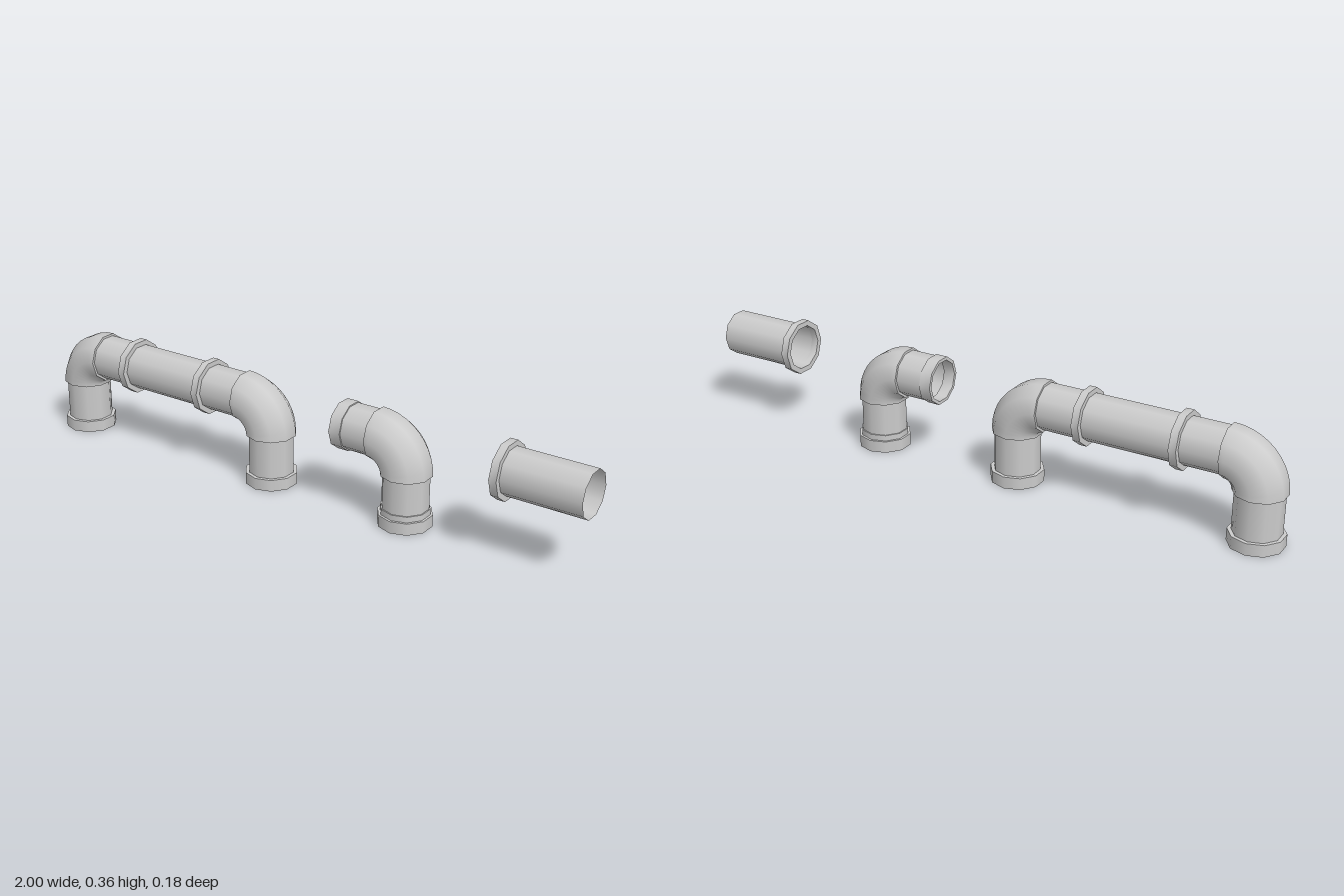
import * as THREE from 'three';
import { mergeVertices, toCreasedNormals } from 'three/addons/utils/BufferGeometryUtils.js';

const SIDES = 10;
const PIPE_R = 0.075, ELBOW_R = 0.083, BEND = 0.104, AXIS_Y = 0.272;
const LEG_TOP = AXIS_Y - BEND;
const material = new THREE.MeshStandardMaterial({ color: 0xcccccc, side: THREE.DoubleSide });

function add(group, name, geometry, x = 0, y = 0) {
  const mesh = new THREE.Mesh(geometry, material);
  mesh.name = name;
  mesh.position.set(x, y, 0);
  group.add(mesh);
}

// Thin open pipe lying along x
function horizontalPipe(group, x0, x1) {
  const g = new THREE.CylinderGeometry(PIPE_R, PIPE_R, x1 - x0, SIDES, 1, true);
  add(group, 'horizontalPipe', g.rotateZ(Math.PI / 2), (x0 + x1) / 2, AXIS_Y);
}

// Hollow ring around a horizontal pipe
function flange(group, name, x0, x1, inner, outer) {
  const h = (x1 - x0) / 2;
  const profile = [[inner, -h], [outer, -h], [outer, h], [inner, h], [inner, -h]]
    .map(([r, y]) => new THREE.Vector2(r, y));
  const g = toCreasedNormals(new THREE.LatheGeometry(profile, SIDES), 0.7);
  add(group, name, g.rotateZ(Math.PI / 2), (x0 + x1) / 2, AXIS_Y);
}

// Quarter bend from a leg at legX to the horizontal axis; side +1 bulges to +x
function elbow(group, legX, side) {
  const profile = [];
  for (let i = 0; i <= SIDES; i++) {
    const a = (i / SIDES) * Math.PI * 2;
    profile.push(new THREE.Vector2(BEND + ELBOW_R * Math.sin(a), -ELBOW_R * Math.cos(a)));
  }
  const start = side > 0 ? Math.PI / 2 : Math.PI;
  let g = new THREE.LatheGeometry(profile, 10, start, Math.PI / 2);
  g.deleteAttribute('normal');
  g.deleteAttribute('uv');
  g = mergeVertices(g.rotateX(Math.PI / 2));
  g.computeVertexNormals();
  const cx = legX - side * BEND;
  add(group, 'elbow', g, cx, LEG_TOP);

  // Lips closing the gap between bend and pipes
  const lip = () => new THREE.RingGeometry(PIPE_R - 0.002, ELBOW_R, SIDES);
  add(group, 'elbowLowerLip', lip().rotateZ(Math.PI / 2).rotateX(Math.PI / 2), legX, LEG_TOP);
  add(group, 'elbowSideLip', lip().rotateZ(Math.PI / 2).rotateZ(Math.PI / 2).rotateY(-side * Math.PI / 2), cx, AXIS_Y);
}

// Upright pipe on a closed foot collar
function leg(group, x) {
  const pipe = new THREE.CylinderGeometry(PIPE_R, PIPE_R, LEG_TOP, SIDES, 1, true);
  add(group, 'legPipe', pipe, x, LEG_TOP / 2);
  add(group, 'footCollar', new THREE.CylinderGeometry(0.087, 0.087, 0.039, SIDES), x, 0.0195);
}

export function createModel() {
  const model = new THREE.Group();
  model.name = 'pipeSet';
  const section = (name) => {
    const g = new THREE.Group();
    g.name = name;
    model.add(g);
    return g;
  };

  // Arch: two legs joined by a flanged pipe
  const arch = section('pipeArch');
  const leftX = -0.919, rightX = -0.117;
  for (const [x, side] of [[leftX, -1], [rightX, 1]]) {
    leg(arch, x);
    elbow(arch, x, side);
  }
  horizontalPipe(arch, leftX + BEND, rightX - BEND);
  flange(arch, 'flange', -0.69, -0.665, PIPE_R, 0.092);
  flange(arch, 'flange', -0.374, -0.35, PIPE_R, 0.092);

  // Single bend with a stepped foot and an open collar
  const bend = section('pipeBend');
  const bendX = 0.393;
  leg(bend, bendX);
  add(bend, 'footStep', new THREE.CylinderGeometry(0.079, 0.079, 0.02, SIDES), bendX, 0.048);
  elbow(bend, bendX, 1);
  horizontalPipe(bend, 0.165, bendX - BEND);
  flange(bend, 'endCollar', 0.16, 0.2, 0.068, 0.079);

  // Straight open pipe with one flange
  const straight = section('straightPipe');
  horizontalPipe(straight, 0.73, 1.0);
  flange(straight, 'flange', 0.718, 0.743, 0.074, 0.092);

  return model;
}
